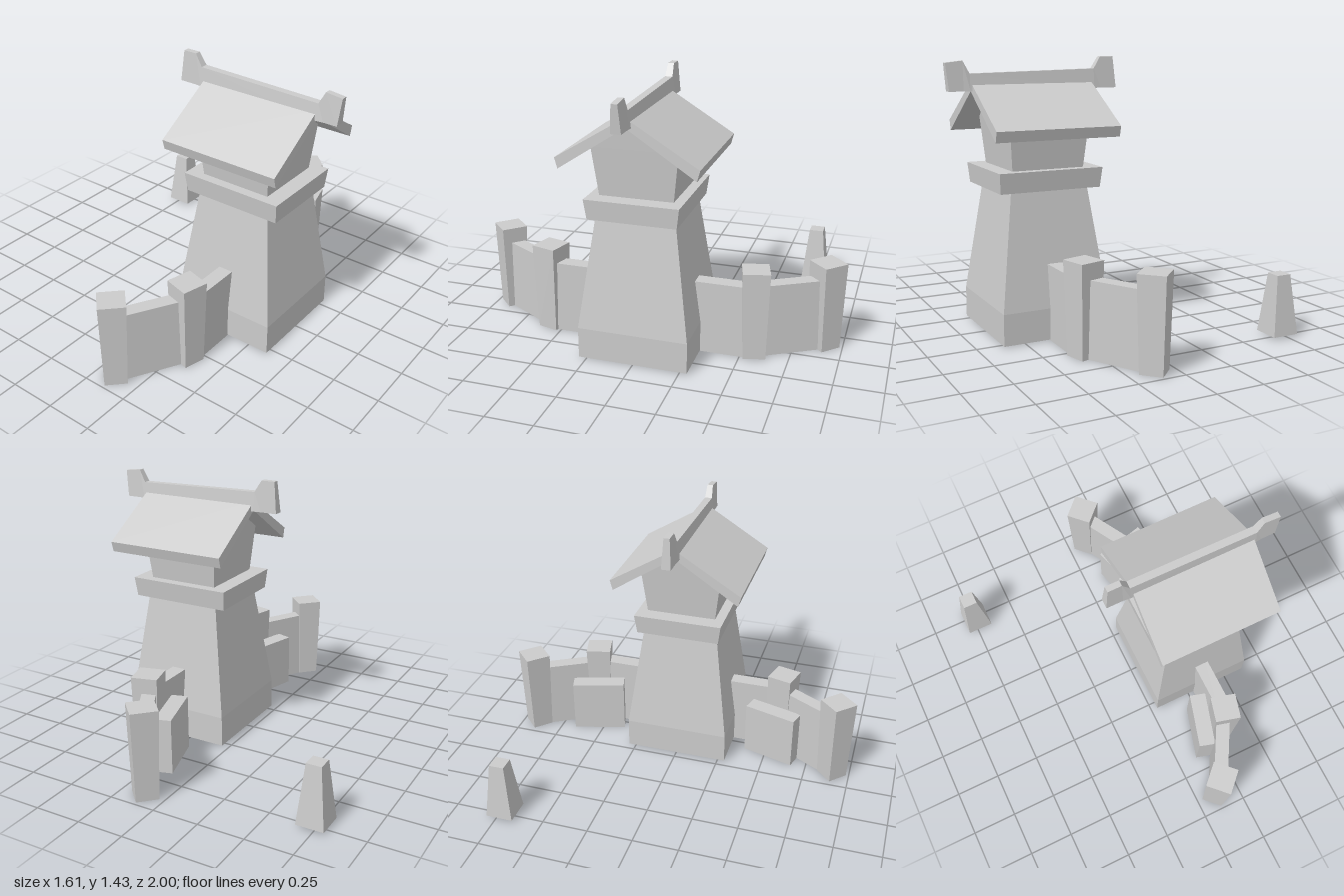
import * as THREE from 'three';

const material = new THREE.MeshStandardMaterial({ color: 0xcccccc, flatShading: true, side: THREE.DoubleSide });

// Skins a list of four-cornered rings into a faceted solid
function skin(name, rings, capStart = true) {
  const pos = [];
  const quad = (a, b, c, d) => pos.push(...a, ...b, ...c, ...a, ...c, ...d);
  for (let i = 0; i < rings.length - 1; i++) {
    for (let k = 0; k < 4; k++) {
      const n = (k + 1) % 4;
      quad(rings[i][k], rings[i][n], rings[i + 1][n], rings[i + 1][k]);
    }
  }
  const s = rings[0], e = rings[rings.length - 1];
  if (capStart) quad(s[3], s[2], s[1], s[0]);
  quad(e[0], e[1], e[2], e[3]);
  const geo = new THREE.BufferGeometry();
  geo.setAttribute('position', new THREE.Float32BufferAttribute(pos, 3));
  geo.computeVertexNormals();
  const mesh = new THREE.Mesh(geo, material);
  mesh.name = name;
  return mesh;
}

// Upright rectangular loft: each level is [height, half width, half depth]
function loft(name, x, z, levels, turn = 0, capStart = true) {
  const rings = levels.map(([y, w, d]) => [[-w, y, d], [w, y, d], [w, y, -d], [-w, y, -d]]);
  const mesh = skin(name, rings, capStart);
  mesh.position.set(x, 0, z);
  mesh.rotation.y = turn;
  return mesh;
}

// Straight wall between two plan points [x, z]
function wall(name, [x0, z0], [x1, z1], width, height) {
  const dx = x1 - x0, dz = z1 - z0;
  const half = Math.hypot(dx, dz) / 2;
  return loft(name, (x0 + x1) / 2, (z0 + z1) / 2,
    [[0, width / 2, half], [height, width / 2, half]], Math.atan2(dx, dz));
}

function createTower() {
  const tower = new THREE.Group();
  tower.name = 'tower';
  const cx = 0.3275;

  // Body is hollow underneath
  tower.add(loft('towerBody', cx, 0, [[0.005, 0.29, 0.29], [0.17, 0.29, 0.29], [0.77, 0.21, 0.207]], 0, false));
  tower.add(loft('ledge', cx, 0, [[0.765, 0.273, 0.23], [0.87, 0.282, 0.244]]));
  // Upper room flares outward, then closes to a gable
  tower.add(loft('upperRoom', cx, 0, [[0.87, 0.195, 0.192], [1.12, 0.217, 0.222], [1.27, 0.23, 0.001]]));

  // Two-sided roof slab
  const outline = new THREE.Shape([
    [-0.36, 1.09], [-0.345, 1.035], [0, 1.262], [0.345, 1.035], [0.36, 1.09], [0, 1.31],
  ].map(([a, b]) => new THREE.Vector2(a, b)));
  const roof = new THREE.Mesh(
    new THREE.ExtrudeGeometry(outline, { depth: 0.665, bevelEnabled: false }), material);
  roof.name = 'roof';
  roof.rotation.y = Math.PI / 2;
  tower.add(roof);

  // Ridge beam with raised ends: [bottom x, top x, top y, bottom half depth, top half depth]
  const stations = [
    [-0.145, -0.13, 1.428, 0.026, 0.016],
    [-0.055, -0.055, 1.428, 0.026, 0.016],
    [-0.015, -0.015, 1.365, 0.03, 0.02],
    [0.675, 0.675, 1.35, 0.03, 0.02],
    [0.71, 0.71, 1.415, 0.026, 0.016],
    [0.785, 0.8, 1.405, 0.026, 0.016],
  ];
  tower.add(skin('ridgeBeam', stations.map(([xb, xt, y, b, t]) =>
    [[xb, 1.263, b], [xb, 1.263, -b], [xt, y, -t], [xt, y, t]])));
  return tower;
}

// One wing of walls and posts; side is +1 for front, -1 for back
function createWing(side) {
  const wing = new THREE.Group();
  wing.name = side > 0 ? 'frontWall' : 'backWall';
  const at = (x, z) => [x, z * side];
  const postLevels = [[0, 0.058, 0.058], [0.48, 0.07, 0.07]];

  wing.add(wall('innerWall', at(0.325, 0.2), at(0.325, 0.55), 0.08, 0.395));
  wing.add(wall('outerWall', at(0.125, 0.88), at(0.3, 0.575), 0.075, 0.395));
  wing.add(wall('step', at(0.24, 0.388), at(0.155, 0.677), 0.09, 0.3));
  wing.add(loft('middlePost', 0.311, 0.564 * side, postLevels, -side * 0.26));
  wing.add(loft('endPost', 0.112, 0.902 * side, postLevels, Math.PI / 4));
  return wing;
}

export function createModel() {
  const model = new THREE.Group();
  model.name = 'watchtower';
  model.add(createTower(), createWing(1), createWing(-1));
  // Freestanding tapered stone
  model.add(loft('markerStone', -0.732, -0.727, [[0.013, 0.073, 0.073], [0.328, 0.04, 0.04]]));
  return model;
}
